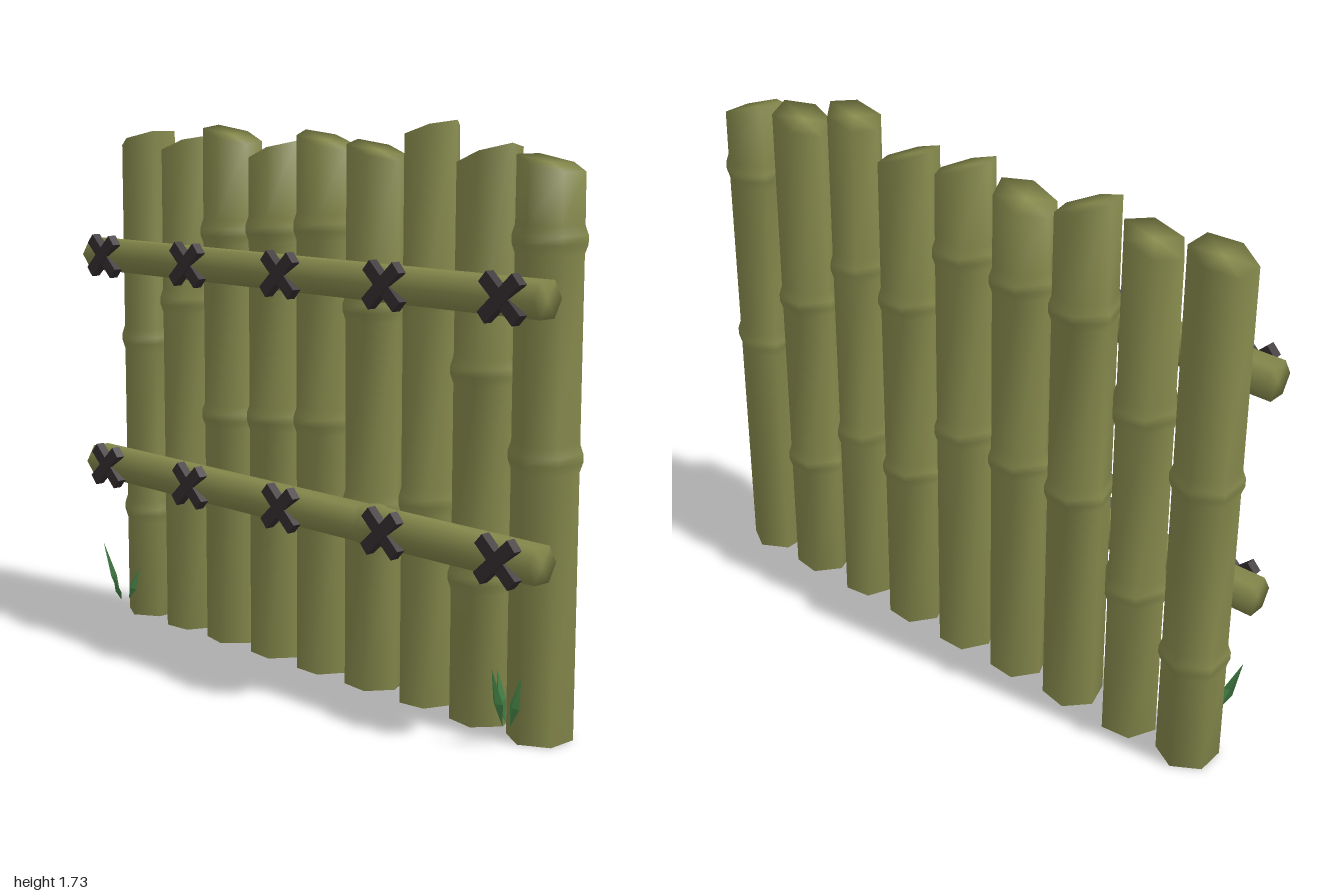
import * as THREE from 'three';

const bamboo = new THREE.MeshStandardMaterial({ name: 'olive bamboo', color: 0x868a4c });
const cord = new THREE.MeshStandardMaterial({ name: 'dark cord', color: 0x352e31 });
const leaf = new THREE.MeshStandardMaterial({ name: 'grass green', color: 0x4a8a4c, side: THREE.DoubleSide });

// Six-sided smooth rod along y with swollen joints and a slanted top
function rod(height, radius, turn, joints = [], slope = 0) {
  const rows = [[0, 1]];
  for (const j of [...joints].sort((a, b) => a - b)) {
    rows.push([j - 0.04, 1], [j - 0.012, 1.1], [j + 0.012, 1.1], [j + 0.04, 1]);
  }
  rows.push([height, 0.99]);
  const n = 6, pos = [], idx = [], last = rows.length - 1;
  rows.forEach(([y, s], k) => {
    for (let i = 0; i < n; i++) {
      const a = turn + (i * Math.PI * 2) / n;
      const x = Math.sin(a) * radius * s;
      pos.push(x, y + (k === last ? slope * x : 0), Math.cos(a) * radius * s);
    }
  });
  const bottom = pos.length / 3;
  pos.push(0, 0, 0, 0, height, 0);
  for (let i = 0; i < n; i++) {
    const j = (i + 1) % n;
    for (let k = 0; k < last; k++) {
      const a = k * n + i, b = k * n + j;
      idx.push(a, b, b + n, a, b + n, a + n);
    }
    idx.push(bottom, j, i, bottom + 1, last * n + i, last * n + j);
  }
  const g = new THREE.BufferGeometry();
  g.setAttribute('position', new THREE.Float32BufferAttribute(pos, 3));
  g.setIndex(idx);
  g.computeVertexNormals();
  return g;
}

// Folded grass blade from a base point to a tip
function blade(base, tip, width) {
  const b = new THREE.Vector3(...base), t = new THREE.Vector3(...tip);
  const dir = t.clone().sub(b);
  const side = new THREE.Vector3(dir.y, -dir.x, 0).normalize().multiplyScalar(width / 2);
  const mid = b.clone().lerp(t, 0.4);
  const fold = mid.clone().add(new THREE.Vector3(0, 0, 0.012));
  const l = mid.clone().sub(side), r = mid.clone().add(side);
  const g = new THREE.BufferGeometry().setFromPoints([b, fold, l, l, fold, t, b, r, fold, fold, r, t]);
  g.computeVertexNormals();
  return g;
}

export function createModel() {
  const model = new THREE.Group();
  const add = (name, geometry, material, parent = model) => {
    const m = new THREE.Mesh(geometry, material);
    m.name = name;
    parent.add(m);
    return m;
  };

  // Upright poles: x, top height at left and right edge, radius, turn in degrees, joints
  const poles = [
    [-0.888, 1.625, 1.68, 0.096, 2, [0.37, 0.97]],
    [-0.667, 1.60, 1.665, 0.095, 36, [0.52, 1.12]],
    [-0.445, 1.70, 1.64, 0.096, 18, [0.76, 1.36]],
    [-0.222, 1.59, 1.655, 0.095, 25, [0.78, 1.38]],
    [0, 1.69, 1.63, 0.095, 30, [0.80, 1.40]],
    [0.222, 1.665, 1.605, 0.095, 25, [0.57, 1.17]],
    [0.443, 1.67, 1.725, 0.088, 38, [0.62, 1.22]],
    [0.665, 1.60, 1.665, 0.095, 22, [0.43, 1.03]],
    [0.886, 1.64, 1.59, 0.096, 0, [0.81, 1.41]],
  ];
  for (const [x, yl, yr, r, turn, joints] of poles) {
    const slope = (yr - yl) / (1.9 * r);
    const p = add('pole', rod((yl + yr) / 2, r, THREE.MathUtils.degToRad(turn), joints, slope), bamboo);
    p.position.set(x, 0, -0.05);
  }

  // Cross rails with crossed cord ties
  for (const [y, joints] of [[0.545, [1.35]], [1.263, []]]) {
    const rail = add('rail', rod(2, 0.06, 0, joints), bamboo);
    rail.rotation.z = -Math.PI / 2;
    rail.position.set(-1, y, 0.09);
    for (let i = -2; i <= 2; i++) {
      const tie = new THREE.Group();
      tie.name = 'tie';
      tie.position.set(i * 0.444, y, 0.143);
      for (const s of [-1, 1]) {
        const strap = add('strap', new THREE.BoxGeometry(0.165, 0.04, 0.03), cord, tie);
        strap.rotation.z = s * 0.74;
        strap.position.z = s * 0.002;
      }
      model.add(tie);
    }
  }

  // Grass tufts at the end poles: base offset and tip for each blade
  const tufts = [
    [-0.885, [[-0.01, -0.07, 0.26, 0.12], [0.005, 0.025, 0.16, 0.15], [0.015, 0.07, 0.185, 0.07]]],
    [0.88, [[-0.015, -0.07, 0.21, 0.05], [0, -0.005, 0.24, 0.145], [0.015, 0.06, 0.22, 0.095]]],
  ];
  for (const [x, blades] of tufts) {
    const tuft = new THREE.Group();
    tuft.name = 'grassTuft';
    tuft.position.x = x;
    for (const [bx, tx, ty, tz] of blades) {
      add('blade', blade([bx, 0.065, 0.085 + (tz - 0.09) * 0.3], [tx, ty, tz], 0.035), leaf, tuft);
    }
    model.add(tuft);
  }
  return model;
}
